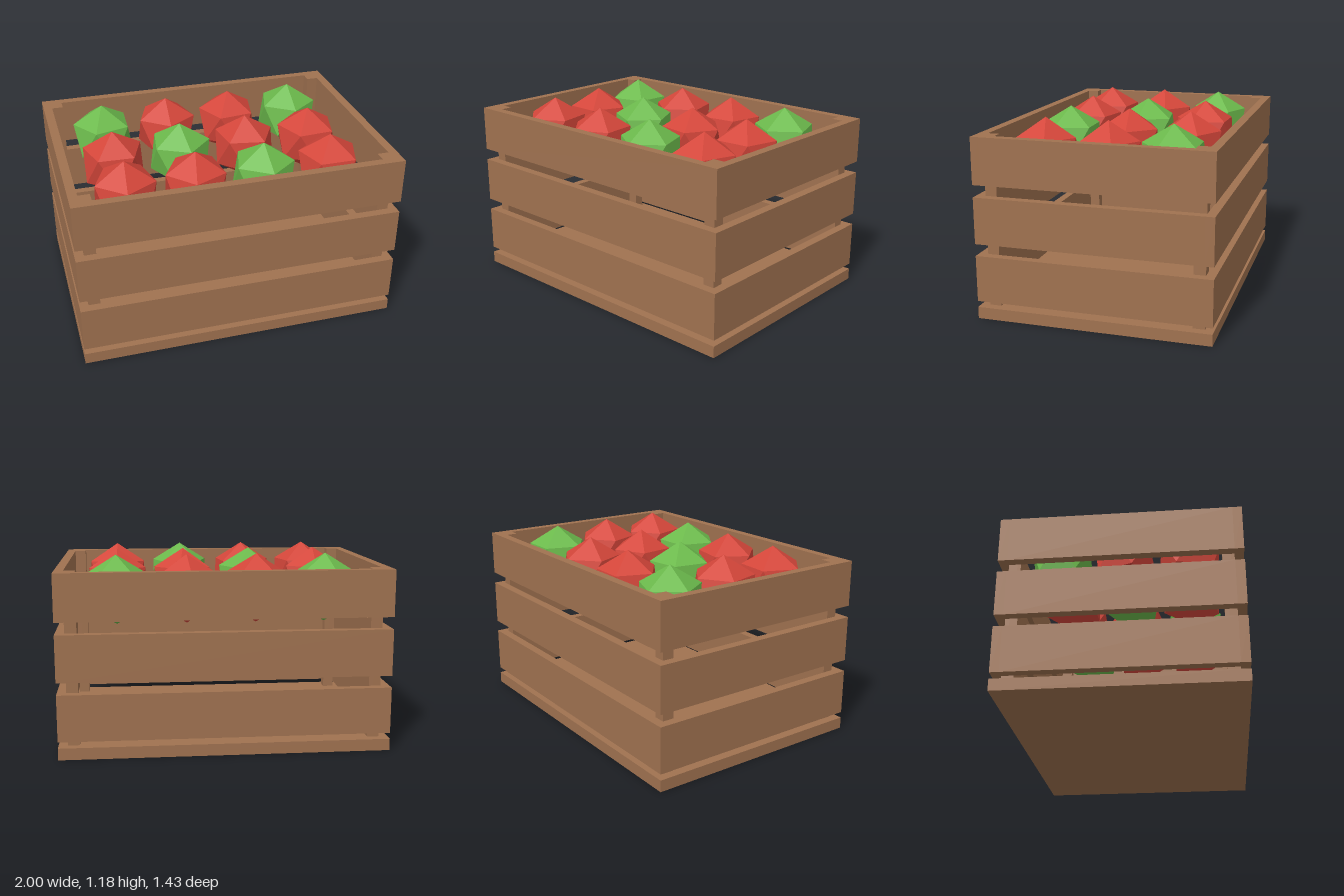
import * as THREE from 'three';

export function createModel() {
  const model = new THREE.Group();
  model.name = 'fruitCrate';

  const material = (name, color) => {
    const m = new THREE.MeshStandardMaterial({ color });
    m.name = name;
    return m;
  };
  const wood = material('wood', 0xa07250);
  const red = material('redSkin', 0xd4463a);
  const green = material('greenSkin', 0x6cba4c);
  red.flatShading = green.flatShading = true;

  const W = 2, D = 1.428, T = 0.055; // crate width, depth, slat thickness
  const addBox = (name, w, h, d, x, y, z) => {
    const mesh = new THREE.Mesh(new THREE.BoxGeometry(w, h, d), wood);
    mesh.name = name;
    mesh.position.set(x, y, z);
    model.add(mesh);
  };

  // Solid floor
  addBox('floor', W, 0.072, D, 0, 0.036, 0);

  // Three rings of slats
  const slatH = 0.284;
  for (const y of [0.252, 0.609, 0.967]) {
    for (const s of [1, -1]) {
      addBox(s > 0 ? 'frontSlat' : 'backSlat', W, slatH, T, 0, y, s * (D - T) / 2);
      addBox(s > 0 ? 'leftSlat' : 'rightSlat', T, slatH, D - 2 * T, s * (W - T) / 2, y, 0);
    }
  }

  // Corner posts inside the slats, flush with the rim
  const P = 0.071, bottom = 0.072, top = 1.109;
  for (const sx of [1, -1]) {
    for (const sz of [1, -1]) {
      addBox('cornerPost', P, top - bottom, P,
        sx * (W / 2 - T - P / 2), (top + bottom) / 2, sz * (D / 2 - T - P / 2));
    }
  }

  // Faceted apples standing on a corner, each turned differently
  const apple = new THREE.IcosahedronGeometry(0.2125, 0);
  apple.rotateX(-Math.atan((1 + Math.sqrt(5)) / 2));
  const colours = ['GRRG', 'RGRR', 'RRGR'];
  const turns = [[39, 20, 47, 17], [56, 9, 64, 50], [23, 29, 16, 54]];
  colours.forEach((row, r) => [...row].forEach((c, i) => {
    const mesh = new THREE.Mesh(apple, c === 'G' ? green : red);
    mesh.name = c === 'G' ? 'greenApple' : 'redApple';
    mesh.position.set((i - 1.5) * 0.4286, 0.967, (r - 1) * 0.393);
    mesh.rotation.y = THREE.MathUtils.degToRad(90 - turns[r][i]);
    model.add(mesh);
  }));

  return model;
}
